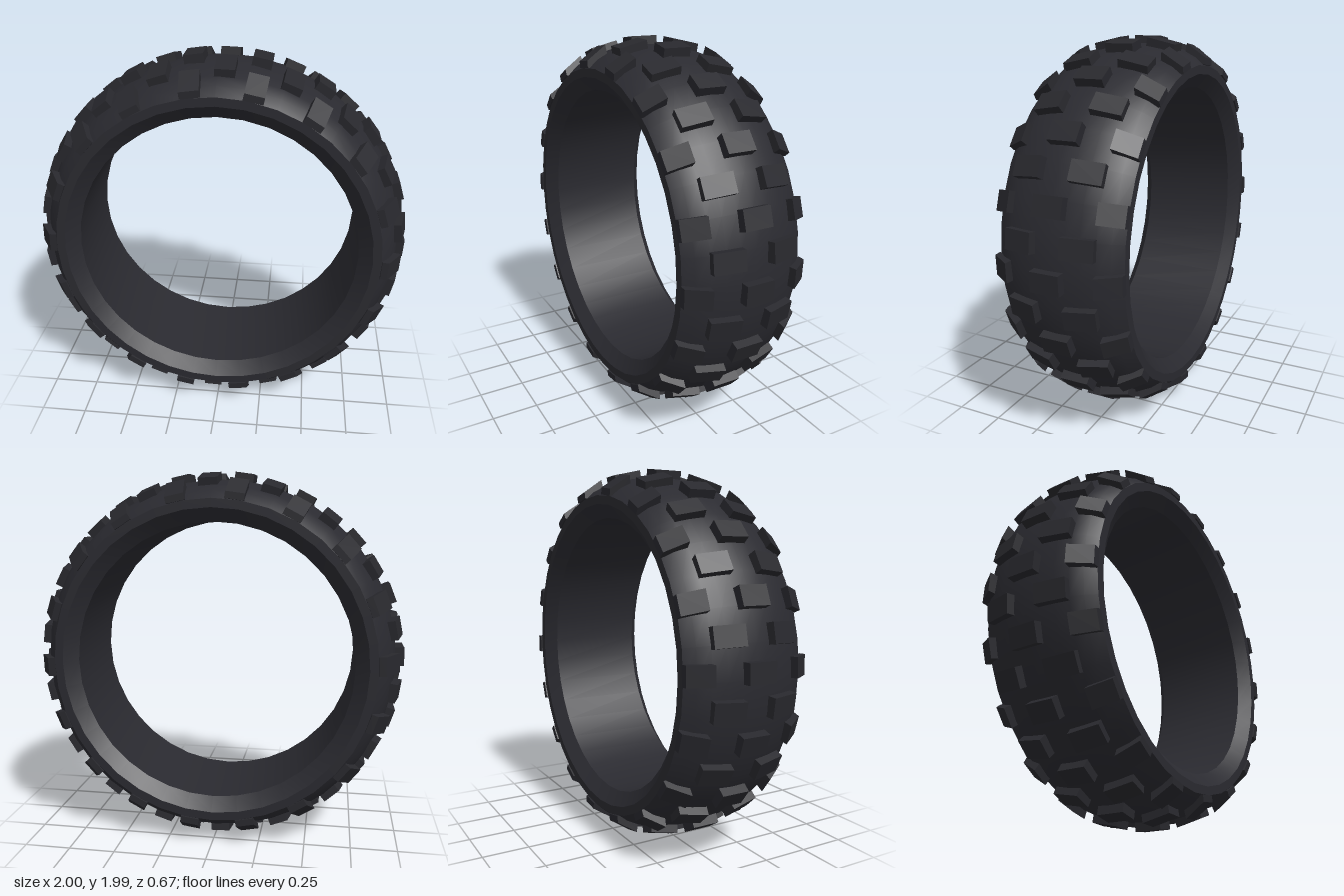
import * as THREE from 'three';
import { toCreasedNormals } from 'three/addons/utils/BufferGeometryUtils.js';

const rubber = new THREE.MeshStandardMaterial({ color: 0x2a2a30 });
rubber.name = 'rubber';
const knobRubber = new THREE.MeshStandardMaterial({ color: 0x28282d });
knobRubber.name = 'knobRubber';

const COUNT = 18;        // knobs in each row
const KNOB_LENGTH = 0.1; // along the circumference

// Tyre body: closed [radius, z] section turned about the wheel axis
function makeCarcass() {
  const half = [[0.96, 0], [0.955, 0.08], [0.943, 0.15], [0.925, 0.22], [0.895, 0.28], [0.855, 0.328],
    [0.81, 0.328], [0.74, 0.27]];
  const back = half.slice(1).reverse().map(([r, z]) => [r, -z]);
  const section = [...back, ...half, back[0]].map(([r, z]) => new THREE.Vector2(r, z));
  const geometry = new THREE.LatheGeometry(section, 36);
  geometry.rotateX(Math.PI / 2);
  const mesh = new THREE.Mesh(toCreasedNormals(geometry, 0.5), rubber);
  mesh.name = 'carcass';
  return mesh;
}

// Knob block: [z, radius] section extruded along the tread
function knobGeometry(section, side) {
  const shape = new THREE.Shape(section.map(([z, r]) => new THREE.Vector2(z * side, r)));
  const geometry = new THREE.ExtrudeGeometry(shape, { depth: KNOB_LENGTH, bevelEnabled: false });
  geometry.translate(0, 0, -KNOB_LENGTH / 2);
  geometry.rotateY(-Math.PI / 2);
  return geometry;
}

// One ring of knobs, starting at an angle in degrees from +x
function makeRow(name, section, side, start) {
  const row = new THREE.Group();
  row.name = name;
  const geometry = knobGeometry(section, side);
  for (let i = 0; i < COUNT; i++) {
    const knob = new THREE.Mesh(geometry, knobRubber);
    knob.name = 'knob';
    knob.rotation.z = THREE.MathUtils.degToRad(start + i * 360 / COUNT - 90);
    row.add(knob);
  }
  return row;
}

export function createModel() {
  const tyre = new THREE.Group();
  tyre.name = 'tyre';
  tyre.add(makeCarcass());

  const centre = [[-0.075, 0.92], [0.075, 0.92], [0.075, 0.998], [-0.075, 0.998]];
  const middle = [[0.065, 0.92], [0.215, 0.88], [0.228, 0.96], [0.077, 0.994]];
  const shoulder = [[0.215, 0.88], [0.29, 0.85], [0.335, 0.855], [0.335, 0.89], [0.228, 0.962]];

  // Middle rows sit half a step between the centre and shoulder rows
  tyre.add(makeRow('centreKnobs', centre, 1, -2));
  for (const [label, side] of [['front', 1], ['back', -1]]) {
    tyre.add(makeRow(label + 'MiddleKnobs', middle, side, 8));
    tyre.add(makeRow(label + 'ShoulderKnobs', shoulder, side, -2));
  }

  tyre.position.y = 1;
  const model = new THREE.Group();
  model.name = 'knobblyTyre';
  model.add(tyre);
  return model;
}
